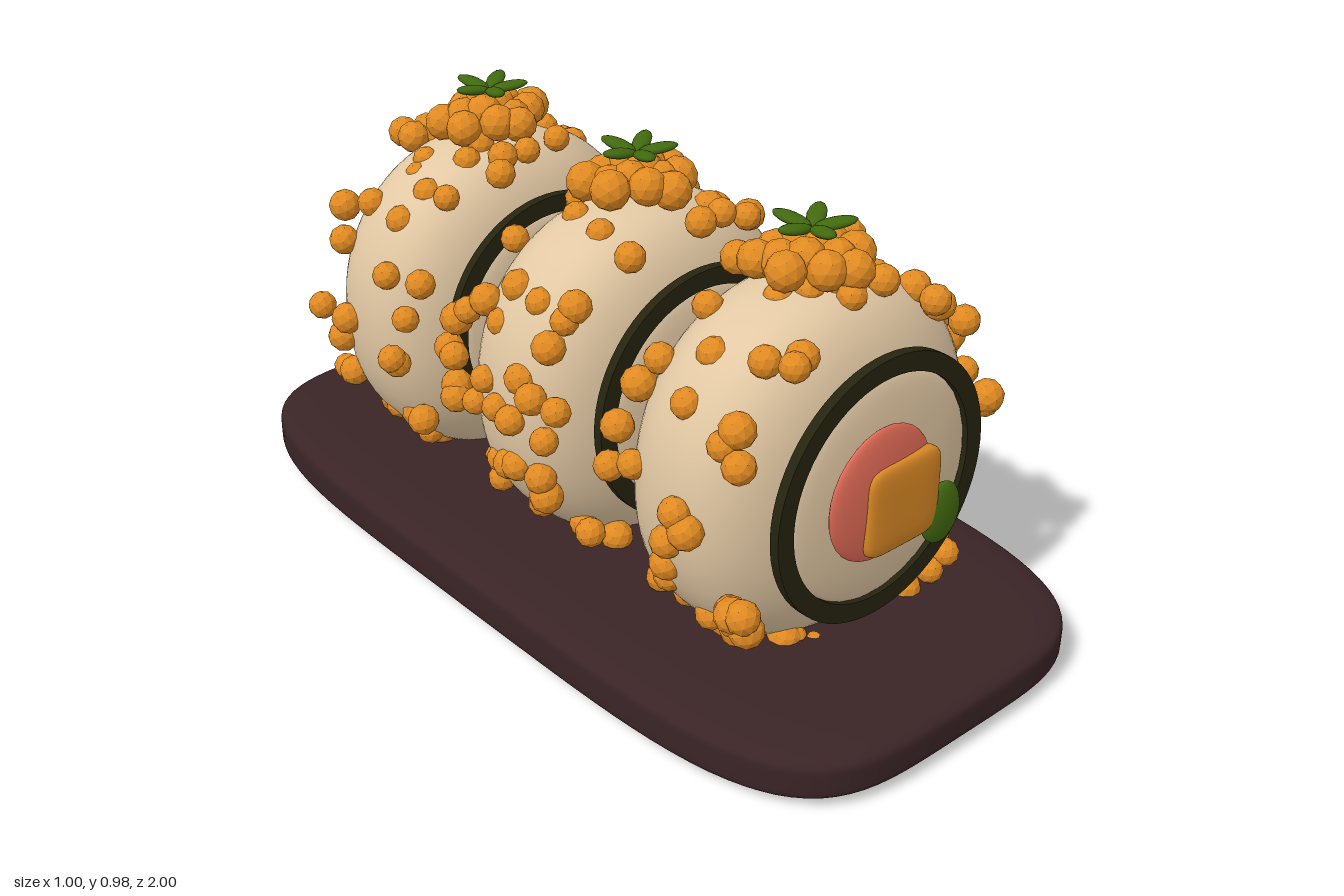
import * as THREE from 'three';
import { mergeGeometries, mergeVertices } from 'three/addons/utils/BufferGeometryUtils.js';

const paint = (name, color) => {
  const m = new THREE.MeshStandardMaterial({ color });
  m.name = name;
  return m;
};
const MATS = {
  rice: paint('rice', 0xe2c8a3),
  seaweed: paint('seaweed', 0x25240f),
  roe: paint('roe orange', 0xe08a22),
  egg: paint('egg yellow', 0xd98824),
  salmon: paint('salmon pink', 0xe26b56),
  green: paint('leaf green', 0x41690f),
  board: paint('dark wood', 0x3a2426),
};

function add(parent, name, geometry, material, x = 0, y = 0, z = 0) {
  const mesh = new THREE.Mesh(geometry, material);
  mesh.name = name;
  mesh.position.set(x, y, z);
  parent.add(mesh);
  return mesh;
}

// Small seeded random generator
function seeded(seed) {
  let s = seed;
  return () => {
    s = (s * 16807) % 2147483647;
    return s / 2147483647;
  };
}

// Rounded solid along z: `plan` squares off its outline, `side` squares off its thickness
function softBlock(rx, ry, rz, plan, side, seg = 20) {
  let g = new THREE.BoxGeometry(2, 2, 2, seg, seg, seg);
  g.deleteAttribute('uv');
  g.deleteAttribute('normal');
  g = mergeVertices(g);
  const p = g.attributes.position;
  for (let i = 0; i < p.count; i++) {
    const x = p.getX(i), y = p.getY(i), z = p.getZ(i);
    const flat = Math.pow(Math.abs(x) ** plan + Math.abs(y) ** plan, side / plan);
    const k = 1 / Math.pow(flat + Math.abs(z) ** side, 1 / side);
    p.setXYZ(i, x * k * rx, y * k * ry, z * k * rz);
  }
  g.computeVertexNormals();
  return g;
}

function ellipsoid(rx, ry, rz) {
  return new THREE.SphereGeometry(1, 32, 16).scale(rx, ry, rz);
}

function pearl(r, x, y, z, turn) {
  const g = new THREE.IcosahedronGeometry(r, 1);
  g.computeVertexNormals(); // faceted
  return g.rotateX(turn).rotateY(turn * 1.7).translate(x, y, z);
}

function seaweedRing() {
  const s = new THREE.Shape().absarc(0, 0, 0.29, 0, Math.PI * 2, false);
  s.holes.push(new THREE.Path().absarc(0, 0, 0.248, 0, Math.PI * 2, true));
  return new THREE.ExtrudeGeometry(s, { depth: 0.022, bevelEnabled: false, curveSegments: 32 });
}

function createRoll(seed) {
  const roll = new THREE.Group();
  const rand = seeded(seed);

  // Rice body and the cut face with its filling
  add(roll, 'riceBody', softBlock(0.383, 0.39, 0.205, 2.15, 2.7), MATS.rice);
  add(roll, 'seaweedRing', seaweedRing(), MATS.seaweed, 0, 0, 0.202);
  add(roll, 'riceFace', ellipsoid(0.25, 0.25, 0.03), MATS.rice, 0, 0, 0.208);
  add(roll, 'salmonSlice', ellipsoid(0.143, 0.147, 0.02), MATS.salmon, -0.035, 0.017, 0.246);
  add(roll, 'eggBlock', softBlock(0.103, 0.1, 0.022, 6, 4, 14), MATS.egg, 0.012, -0.014, 0.257);
  add(roll, 'cucumberPiece', ellipsoid(0.055, 0.07, 0.02), MATS.green, 0.134, -0.09, 0.26);

  // Roe scattered over the outer band
  const coat = [];
  for (let i = 0; i < 96; i++) {
    const a = rand() * Math.PI * 2;
    const r = 0.372 + rand() * 0.018;
    coat.push(pearl(0.03 + rand() * 0.008, Math.cos(a) * r, Math.sin(a) * r, (rand() - 0.5) * 0.38, a));
  }
  add(roll, 'roeCoat', mergeGeometries(coat), MATS.roe);

  // Heap of roe on top
  const heap = [];
  for (let i = 0; i < 14; i++) {
    const a = i * 2.4 + rand() * 0.3;
    const r = 0.118 * Math.sqrt((i + 0.3) / 14);
    heap.push(pearl(0.04 + rand() * 0.005, Math.cos(a) * r, 0.435 - r * 0.2 + rand() * 0.015, Math.sin(a) * r * 0.9, a));
  }
  add(roll, 'roeHeap', mergeGeometries(heap), MATS.roe);

  // Five-leaf garnish
  const leaves = [];
  for (let i = 0; i < 5; i++) {
    const leaf = new THREE.SphereGeometry(1, 12, 8).scale(0.044, 0.011, 0.02);
    leaves.push(leaf.rotateZ(0.18).translate(0.045, 0.492, 0).rotateY(0.6 + (i * Math.PI * 2) / 5));
  }
  add(roll, 'leafGarnish', mergeGeometries(leaves), MATS.green);
  return roll;
}

export function createModel() {
  const model = new THREE.Group();
  model.name = 'rollsOnBoard';

  // Serving board
  const board = softBlock(0.5, 1, 0.065, 4.5, 6, 32).rotateX(-Math.PI / 2);
  add(model, 'servingBoard', board, MATS.board, 0, 0.065, 0);

  // Three rolls in a row
  ['frontRoll', 'middleRoll', 'backRoll'].forEach((name, i) => {
    const roll = createRoll(1237 + i * 7919);
    roll.name = name;
    roll.position.set(0, 0.47, 0.515 * (1 - i));
    model.add(roll);
  });
  return model;
}
